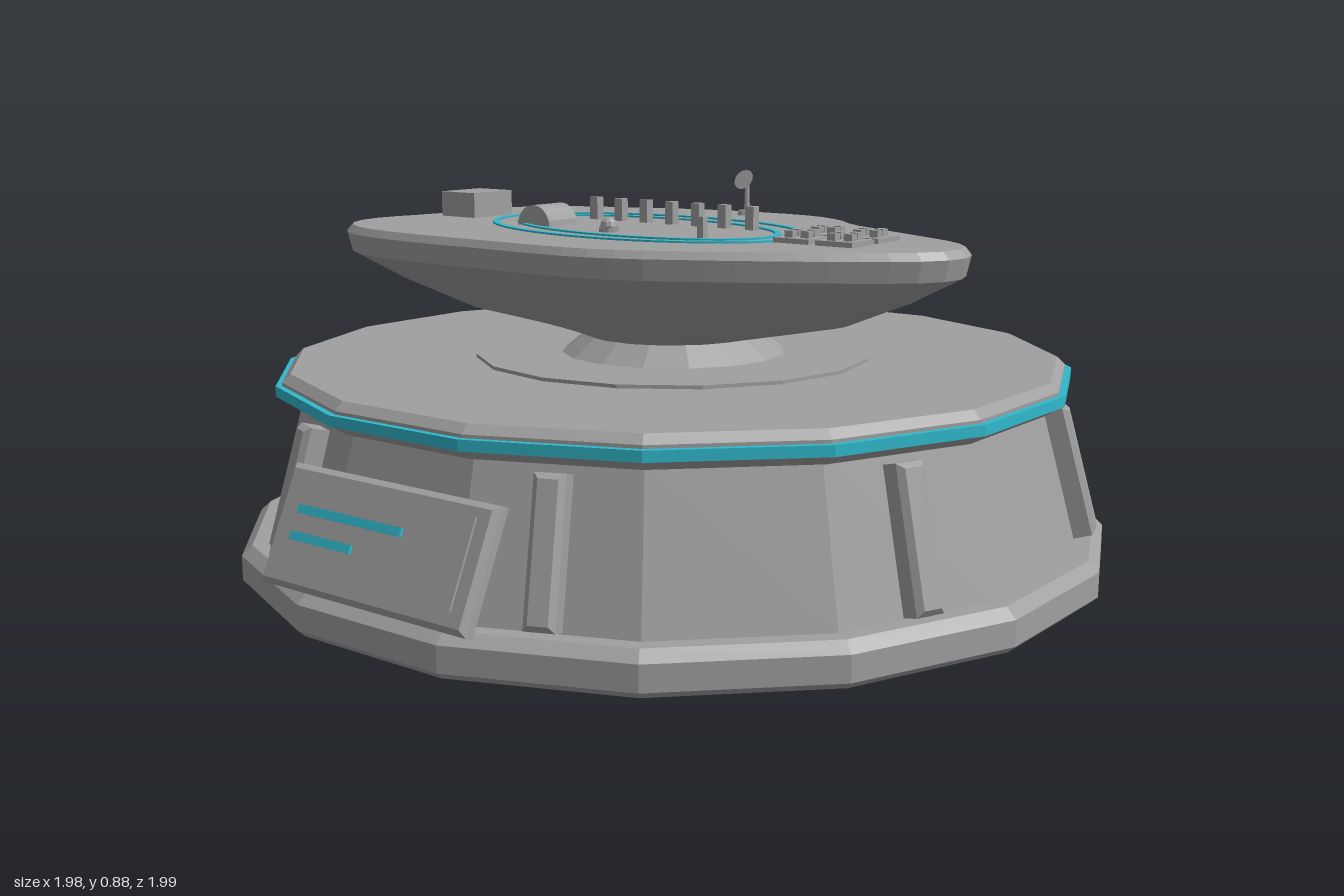
import * as THREE from 'three';

const grey = new THREE.MeshStandardMaterial({ color: 0xa0a0a0, flatShading: true });
grey.name = 'grey metal';
const cyan = new THREE.MeshStandardMaterial({ color: 0x30b8cc, flatShading: true });
cyan.name = 'cyan light';

function add(parent, name, geometry, material, x = 0, y = 0, z = 0) {
  const mesh = new THREE.Mesh(geometry, material);
  mesh.name = name;
  mesh.position.set(x, y, z);
  parent.add(mesh);
  return mesh;
}

// box standing on height y
function block(parent, name, w, h, d, x, y, z, material = grey) {
  return add(parent, name, new THREE.BoxGeometry(w, h, d), material, x, y + h / 2, z);
}

// sixteen-sided ring; radii are measured to the flat sides
function lathe16(profile) {
  const k = 1 / Math.cos(Math.PI / 16);
  const points = profile.map(([r, y]) => new THREE.Vector2(r * k, y));
  return new THREE.LatheGeometry(points, 16, Math.PI / 16);
}

// slab with chamfered edges, centred on its origin
function chamferBox(w, h, d, b) {
  const x = w / 2 - b, y = h / 2 - b;
  const shape = new THREE.Shape([[-x, -y], [x, -y], [x, y], [-x, y]].map(p => new THREE.Vector2(...p)));
  return new THREE.ExtrudeGeometry(shape, {
    depth: d - 2 * b, bevelEnabled: true, bevelSize: b, bevelThickness: b, bevelSegments: 1,
  }).translate(0, 0, b - d / 2);
}

// irregular bowl: an outline lofted from a round foot to a chamfered rim
function platformGeometry() {
  const outline = [
    [-0.07, -0.498], [0.1, -0.48], [0.2, -0.425], [0.28, -0.35], [0.4, -0.28], [0.55, -0.2], [0.68, -0.125],
    [0.74, -0.06], [0.76, 0.02], [0.73, 0.095], [0.62, 0.19], [0.45, 0.305], [0.3, 0.39], [0.2, 0.44],
    [0.1, 0.467], [-0.2, 0.47], [-0.4, 0.465], [-0.55, 0.445], [-0.66, 0.4], [-0.74, 0.32], [-0.765, 0.22],
    [-0.745, 0.1], [-0.73, -0.02], [-0.735, -0.15], [-0.7, -0.25], [-0.62, -0.335], [-0.45, -0.41], [-0.25, -0.477],
  ].map(([x, z]) => new THREE.Vector3(x, 0, z));
  const n = 64;
  const curve = new THREE.CatmullRomCurve3(outline, true);
  const edge = curve.getSpacedPoints(n).slice(0, n);
  // [height, scale of outline, blend towards the round foot]
  const rings = [[0.52, 0, 1], [0.575, 0.62, 0], [0.64, 0.83, 0], [0.7, 0.985, 0], [0.745, 1, 0], [0.762, 0.98, 0]];
  const pos = [], index = [];
  for (const [y, s, round] of rings) {
    for (const p of edge) {
      const f = round ? 0.2 / Math.hypot(p.x, p.z) : s;
      pos.push(p.x * f, y, p.z * f);
    }
  }
  const top = (rings.length - 1) * n, centre = rings.length * n;
  pos.push(0, 0.762, 0);
  for (let i = 0; i < n; i++) {
    const k = (i + 1) % n;
    for (let j = 0; j < rings.length - 1; j++) {
      const a = j * n + i, b = j * n + k;
      index.push(a, a + n, b, b, a + n, b + n);
    }
    index.push(centre, top + k, top + i);
  }
  const g = new THREE.BufferGeometry();
  g.setAttribute('position', new THREE.Float32BufferAttribute(pos, 3));
  g.setIndex(index);
  g.computeVertexNormals();
  return g;
}

// flat tilted oval band
function ovalBand(a, b, width) {
  const shape = new THREE.Shape().absellipse(0, 0, a, b, 0, Math.PI * 2, false, 0.125);
  shape.holes.push(new THREE.Path().absellipse(0, 0, a - width, b - width, 0, Math.PI * 2, true, 0.125));
  return new THREE.ExtrudeGeometry(shape, { depth: 0.005, bevelEnabled: false, curveSegments: 48 }).rotateX(Math.PI / 2);
}

export function createModel() {
  const model = new THREE.Group();
  model.name = 'displayPedestal';

  // stepped pedestal
  const base = new THREE.Group();
  base.name = 'pedestal';
  base.position.z = -0.01;
  model.add(base);
  add(base, 'foot', lathe16([[0, 0], [0.972, 0], [0.988, 0.015], [0.988, 0.07], [0.965, 0.092], [0, 0.092]]), grey);
  add(base, 'body', lathe16([[0.93, 0.09], [0.845, 0.41]]), grey);
  add(base, 'tableTop', lathe16([[0, 0.4], [0.865, 0.4], [0.888, 0.42], [0.888, 0.452], [0.87, 0.47], [0, 0.47]]), grey);
  add(base, 'lightBand', lathe16([[0.88, 0.422], [0.902, 0.422], [0.902, 0.445], [0.88, 0.445]]), cyan);

  // eight leaning ribs
  for (let i = 0; i < 8; i++) {
    const arm = new THREE.Group();
    arm.name = 'ribArm';
    arm.rotation.y = Math.PI / 8 + i * Math.PI / 4;
    base.add(arm);
    add(arm, 'rib', chamferBox(0.065, 0.295, 0.07, 0.012), grey, 0, 0.242, 0.908).rotation.x = -0.262;
  }

  // tilted control panel on the front
  const panel = new THREE.Group();
  panel.name = 'frontPanel';
  panel.position.set(0, 0.215, 0.93);
  panel.rotation.x = -0.428;
  model.add(panel);
  add(panel, 'panelFrame', chamferBox(0.575, 0.25, 0.042, 0.012), grey);
  add(panel, 'panelPlate', new THREE.BoxGeometry(0.49, 0.18, 0.008), grey, 0, 0.005, 0.022);
  add(panel, 'longLight', new THREE.BoxGeometry(0.295, 0.018, 0.009), cyan, -0.073, 0.034, 0.028);
  add(panel, 'shortLight', new THREE.BoxGeometry(0.175, 0.018, 0.009), cyan, -0.133, -0.021, 0.028);

  // neck that carries the platform
  add(model, 'neckPlate', new THREE.CylinderGeometry(0.46, 0.46, 0.01, 16), grey, 0, 0.473, -0.005);
  add(model, 'neck', new THREE.CylinderGeometry(0.19, 0.265, 0.06, 16), grey, 0, 0.505, -0.005);
  add(model, 'platform', platformGeometry(), grey);

  // glowing oval paths
  add(model, 'outerPath', ovalBand(0.444, 0.274, 0.014), cyan, -0.07, 0.766, 0.015);
  add(model, 'innerPath', ovalBand(0.382, 0.21, 0.014), cyan, -0.07, 0.766, 0.017);

  // small structures on the platform
  const floor = 0.76;
  block(model, 'warehouse', 0.112, 0.063, 0.135, -0.61, floor, 0.015);
  for (let i = 0; i < 7; i++) block(model, 'pillar', 0.023, 0.056, 0.023, -0.3 + i * 0.0775, floor, -0.085);
  block(model, 'post', 0.017, 0.05, 0.017, 0.19, floor, 0.14);
  const hangar = new THREE.CylinderGeometry(0.05, 0.05, 0.1, 10, 1, false, -Math.PI / 2, Math.PI).rotateX(-Math.PI / 2);
  add(model, 'hangar', hangar, grey, -0.305, floor, 0.09);
  add(model, 'domeBase', new THREE.CylinderGeometry(0.023, 0.023, 0.012, 10), grey, -0.07, floor + 0.006, 0.145);
  add(model, 'dome', new THREE.SphereGeometry(0.02, 10, 6), grey, -0.07, floor + 0.015, 0.145);

  // antenna
  add(model, 'antennaBase', new THREE.CylinderGeometry(0.022, 0.026, 0.014, 10), grey, -0.07, floor + 0.007, -0.4);
  add(model, 'antennaMast', new THREE.CylinderGeometry(0.005, 0.008, 0.08, 8), grey, -0.07, floor + 0.045, -0.4);
  add(model, 'antennaDish', new THREE.CylinderGeometry(0.027, 0.018, 0.008, 12), grey, -0.07, 0.85, -0.388).rotation.x = 1.06;

  // landing pads, each with four crates
  for (const x of [0.403, 0.51]) for (const z of [-0.035, 0.069]) {
    block(model, 'pad', 0.09, 0.013, 0.09, x, floor, z);
    for (const dx of [-1, 1]) for (const dz of [-1, 1]) {
      block(model, 'crate', 0.02, 0.016, 0.02, x + dx * 0.018 + dz * 0.004, floor + 0.012, z + dz * 0.018 - dx * 0.004);
    }
  }
  return model;
}
